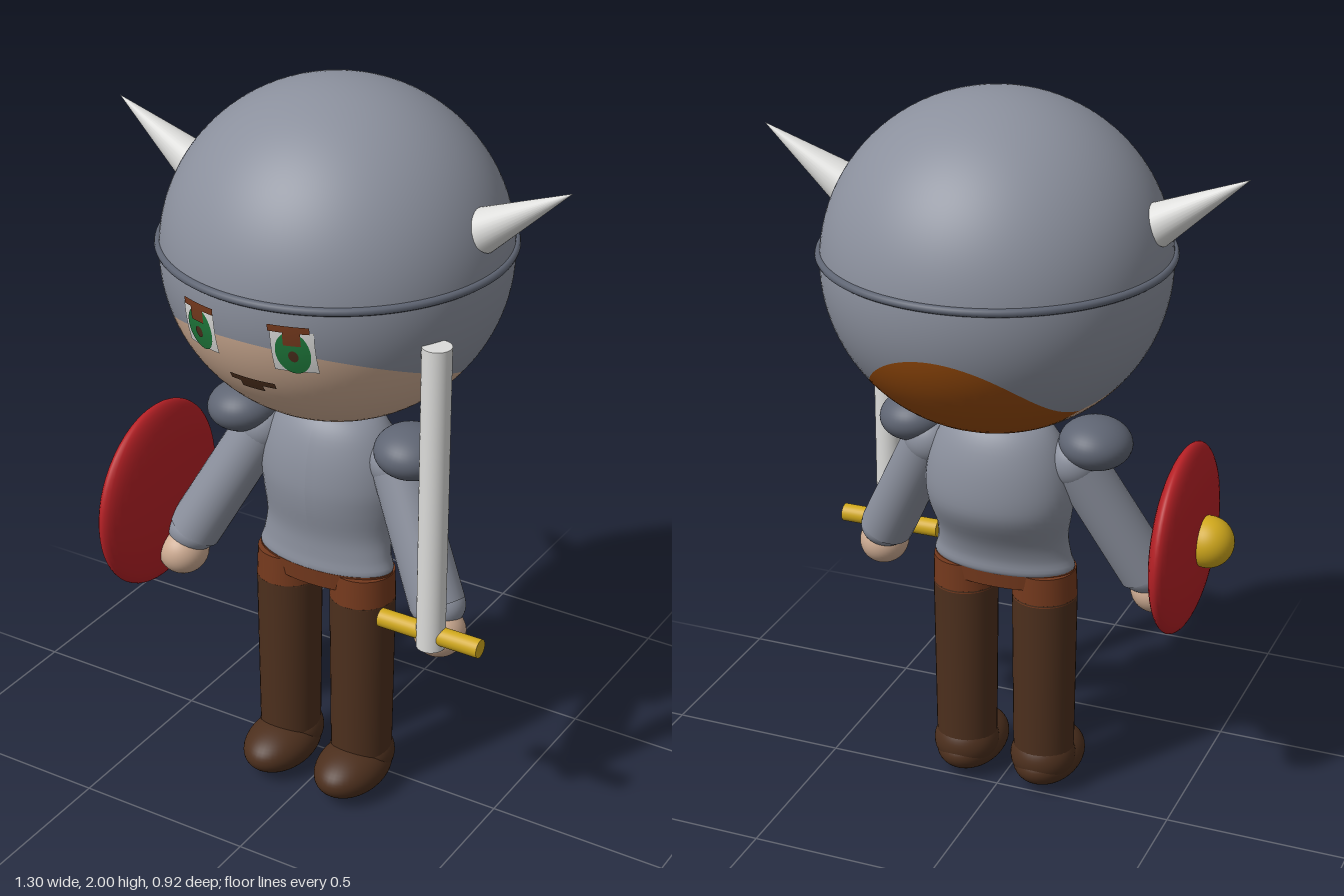
import * as THREE from 'three';

const mat = (name, color, side = THREE.FrontSide) => {
  const m = new THREE.MeshStandardMaterial({ color, side });
  m.name = name;
  return m;
};

export function createModel() {
  const steel = mat('steel', 0x8b909d);
  const darkSteel = mat('dark steel', 0x5f6573);
  const skin = mat('skin', 0xcdab92);
  const trousers = mat('trouser brown', 0x4c2f1d);
  const belt = mat('belt brown', 0x74391d);
  const hairBrown = mat('hair', 0x964a0a);
  const red = mat('shield red', 0xb52025);
  const gold = mat('gold', 0xd0a81c);
  const pale = mat('pale metal', 0xdcdcda);
  const green = mat('eye green', 0x1f7a3c);

  const model = new THREE.Group();
  model.name = 'hornedWarrior';
  const add = (name, geo, material, pos = [0, 0, 0], scale = [1, 1, 1]) => {
    const m = new THREE.Mesh(geo, material);
    m.name = name;
    m.position.set(...pos);
    m.scale.set(...scale);
    model.add(m);
    return m;
  };
  const ball = (name, material, pos, radii) =>
    add(name, new THREE.SphereGeometry(1, 40, 28), material, pos, radii);
  // Tapered rod running from point a to point b
  const rod = (name, material, a, b, ra, rb = ra) => {
    const A = new THREE.Vector3(...a), B = new THREE.Vector3(...b);
    const dir = B.clone().sub(A);
    const m = add(name, new THREE.CylinderGeometry(rb, ra, dir.length(), 32), material);
    m.position.copy(A).add(B).multiplyScalar(0.5);
    m.quaternion.setFromUnitVectors(new THREE.Vector3(0, 1, 0), dir.normalize());
    return m;
  };

  // Head: one ellipsoid cut into helmet, hair patch and face
  const R = 0.45, H = 0.44, CY = 1.56, HAIR_Z = -0.145;
  const edgeY = (z) => {
    const d = HAIR_Z - z;
    return d < 0 ? 1.303 + 0.39 * z : 1.245 + 0.2 * d + 1.65 * d * d;
  };
  const helmetEnd = (phi) => {
    let lo = 0.9, hi = Math.PI;
    for (let i = 0; i < 40; i++) {
      const t = (lo + hi) / 2;
      if (CY + H * Math.cos(t) > edgeY(R * Math.sin(t) * Math.cos(phi))) lo = t;
      else hi = t;
    }
    return lo;
  };
  const hairEnd = (phi) => {
    const s = -HAIR_Z / (R * Math.max(-Math.cos(phi), 1e-6));
    return s < 1 ? Math.max(helmetEnd(phi), Math.PI - Math.asin(s)) : helmetEnd(phi);
  };
  const headBand = (start, end, rows, cols = 128) => {
    const pos = [], nor = [], idx = [];
    for (let i = 0; i <= cols; i++) {
      const phi = (i / cols) * Math.PI * 2, t0 = start(phi), t1 = end(phi);
      for (let j = 0; j <= rows; j++) {
        const t = t0 + ((t1 - t0) * j) / rows;
        const n = new THREE.Vector3(Math.sin(t) * Math.sin(phi), Math.cos(t), Math.sin(t) * Math.cos(phi));
        pos.push(n.x * R, n.y * H, n.z * R);
        n.set(n.x / R, n.y / H, n.z / R).normalize();
        nor.push(n.x, n.y, n.z);
        if (i < cols && j < rows) {
          const a = i * (rows + 1) + j, b = a + rows + 1;
          idx.push(a, a + 1, b, a + 1, b + 1, b);
        }
      }
    }
    const g = new THREE.BufferGeometry();
    g.setAttribute('position', new THREE.Float32BufferAttribute(pos, 3));
    g.setAttribute('normal', new THREE.Float32BufferAttribute(nor, 3));
    g.setIndex(idx);
    return g;
  };
  add('helmet', headBand(() => 0, helmetEnd, 40), steel, [0, CY, 0]);
  add('hair', headBand(helmetEnd, hairEnd, 12), hairBrown, [0, CY, 0]);
  add('face', headBand(hairEnd, () => Math.PI, 20), skin, [0, CY, 0]);
  add('helmetRim', new THREE.TorusGeometry(0.45, 0.011, 10, 96).rotateX(Math.PI / 2), darkSteel, [0, 1.587, 0]);

  // Thin face details wrapped onto the front of the head
  const decal = (name, geo, material, x, y, w, h, lift) => {
    geo.scale(w, h, 1).translate(x, y, 0);
    const p = geo.attributes.position;
    for (let i = 0; i < p.count; i++) {
      const px = p.getX(i) / R, py = (p.getY(i) - CY) / H;
      p.setZ(i, R * Math.sqrt(1 - px * px - py * py) + lift);
    }
    geo.computeVertexNormals();
    add(name, geo, material);
  };
  const patch = () => new THREE.PlaneGeometry(1, 1, 8, 8);
  const disc = () => new THREE.RingGeometry(0, 1, 32, 5);
  for (const s of [-1, 1]) {
    decal('eyeWhite', patch(), pale, s * 0.133, 1.472, 0.105, 0.115, 0.003);
    decal('iris', disc(), green, s * 0.133, 1.47, 0.042, 0.06, 0.005);
    decal('pupil', disc(), trousers, s * 0.135, 1.462, 0.012, 0.016, 0.007);
    decal('eyeShade', patch(), belt, s * 0.135, 1.515, 0.042, 0.045, 0.007);
    decal('eyelid', patch(), belt, s * 0.128, 1.537, 0.1, 0.018, 0.008);
  }
  decal('mouth', patch(), trousers, 0, 1.352, 0.13, 0.018, 0.004);
  decal('lowerLip', patch(), trousers, -0.005, 1.335, 0.065, 0.022, 0.004);

  // Torso: lathe flattened front to back, narrower and further forward at the hips
  const profile = [[0, 0.67], [0.15, 0.675], [0.198, 0.69], [0.19, 0.73], [0.185, 0.79], [0.2, 0.87],
    [0.205, 0.94], [0.19, 1.02], [0.155, 1.09], [0.1, 1.13], [0, 1.15]].map((p) => new THREE.Vector2(...p));
  const curve = new THREE.SplineCurve(profile).getPoints(40);
  curve.forEach((p) => { p.x = Math.max(p.x, 0); });
  const torso = new THREE.LatheGeometry(curve, 48);
  const tp = torso.attributes.position;
  for (let i = 0; i < tp.count; i++) {
    const t = THREE.MathUtils.smoothstep(tp.getY(i), 0.69, 0.9);
    tp.setZ(i, tp.getZ(i) * (0.48 + 0.22 * t) + 0.055 - 0.035 * t);
  }
  torso.computeVertexNormals();
  add('torso', torso, steel);
  add('waistband', new THREE.CylinderGeometry(0.2, 0.19, 0.05, 40), belt, [0, 0.667, 0.057], [1, 1, 0.47]);

  for (const s of [-1, 1]) {
    // Legs and feet
    rod('hip', belt, [s * 0.115, 0.6, 0.06], [s * 0.115, 0.685, 0.058], 0.089, 0.086);
    rod('leg', trousers, [s * 0.115, 0.08, 0.062], [s * 0.115, 0.605, 0.06], 0.084, 0.089);
    ball('foot', trousers, [s * 0.115, 0.075, 0.105], [0.095, 0.07, 0.14]);
    ball('ankle', trousers, [s * 0.115, 0.1, 0.058], [0.091, 0.08, 0.09]);
    // Arms, hands and shoulder plates
    ball('shoulder', steel, [s * 0.205, 1.02, 0.04], [0.075, 0.075, 0.075]);
    rod('arm', steel, [s * 0.205, 1.02, 0.04], [s * 0.378, 0.69, 0.125], 0.072, 0.074);
    ball('cuff', steel, [s * 0.378, 0.69, 0.125], [0.074, 0.06, 0.074]);
    ball('hand', skin, [s * 0.4, 0.628, 0.15], [0.068, 0.066, 0.072]);
    ball('shoulderPlate', darkSteel, [s * 0.255, 1.072, 0.055], [0.097, 0.067, 0.103]).rotation.z = -s * 0.08;
    // Horns
    rod('horn', pale, [s * 0.415, 1.7, 0.012], [s * 0.652, 1.845, 0.012], 0.058, 0);
  }

  // Shield on the right arm
  ball('shield', red, [-0.475, 0.79, 0.155], [0.055, 0.26, 0.262]);
  ball('shieldBoss', gold, [-0.54, 0.79, 0.155], [0.07, 0.07, 0.07]);

  // Sword in the left hand
  rod('swordBlade', pale, [0.407, 0.62, 0.21], [0.407, 1.47, 0.21], 0.038);
  rod('swordGuard', gold, [0.26, 0.657, 0.21], [0.55, 0.657, 0.21], 0.025);

  return model;
}
